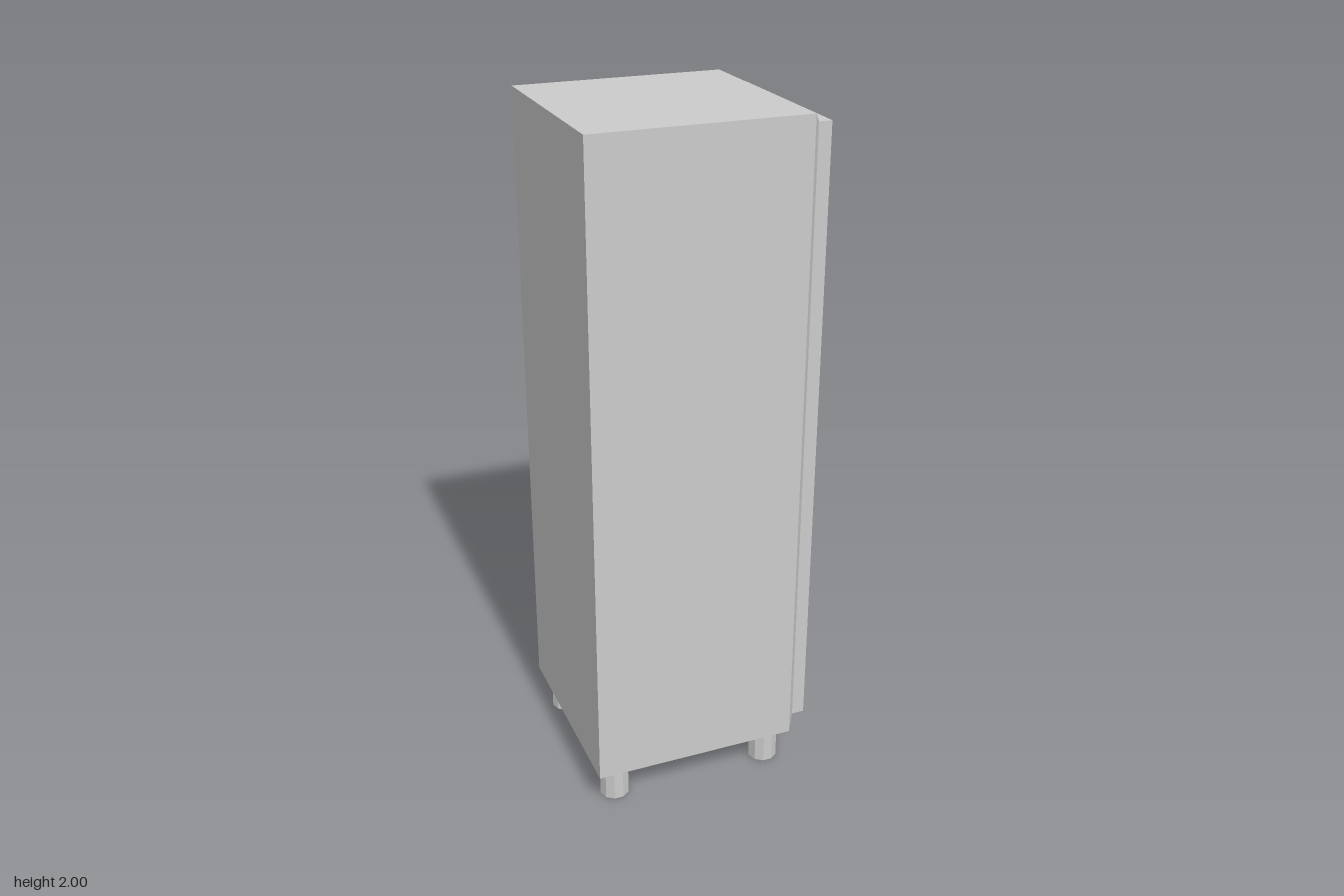
import * as THREE from 'three';

const material = new THREE.MeshStandardMaterial({ color: 0xcccccc, flatShading: true });

function add(parent, name, geometry, x = 0, y = 0, z = 0) {
  const mesh = new THREE.Mesh(geometry, material);
  mesh.name = name;
  mesh.position.set(x, y, z);
  parent.add(mesh);
  return mesh;
}

// Rectangular rings [z, x0, x1, y0, y1] joined by quads.
// Rings running back to front face outward; front to back face inward.
function loft(rings, cap) {
  const corners = rings.map(([z, x0, x1, y0, y1]) =>
    [[x0, y0, z], [x1, y0, z], [x1, y1, z], [x0, y1, z]]);
  const points = [];
  const quad = (a, b, c, d) => points.push(...a, ...b, ...c, ...a, ...c, ...d);
  for (let r = 0; r + 1 < corners.length; r++) {
    const a = corners[r], b = corners[r + 1];
    for (let i = 0; i < 4; i++) {
      const j = (i + 1) % 4;
      quad(a[i], a[j], b[j], b[i]);
    }
  }
  if (cap === 'start') quad(...[...corners[0]].reverse());
  if (cap === 'end') quad(...corners[corners.length - 1]);
  const geometry = new THREE.BufferGeometry();
  geometry.setAttribute('position', new THREE.Float32BufferAttribute(points, 3));
  geometry.computeVertexNormals();
  return geometry;
}

function rectangle(PathType, x0, x1, y0, y1) {
  return new PathType([[x0, y0], [x1, y0], [x1, y1], [x0, y1]]
    .map(([x, y]) => new THREE.Vector2(x, y)));
}

export function createModel() {
  const model = new THREE.Group();
  model.name = 'locker';

  // Built with the door facing +z, then turned so it faces +x
  const locker = new THREE.Group();
  locker.name = 'lockerBody';
  locker.rotation.y = Math.PI / 2;
  model.add(locker);

  const doorZ = 0.338;
  const doorRect = [-0.268, 0.268, 0.143, 1.97];
  const ventRect = [-0.136, 0.136, 1.535, 1.805];
  const pocketRect = [0.069, 0.245, 0.99, 1.245];

  // Cabinet with a bevelled front frame
  add(locker, 'cabinet', loft([
    [-0.34, -0.305, 0.305, 0.11, 2],
    [0.273, -0.305, 0.305, 0.11, 2],
    [0.3, ...doorRect],
  ], 'start'));

  // Door: edges and a front panel cut for the vent and the handle
  const door = new THREE.Group();
  door.name = 'door';
  locker.add(door);
  add(door, 'doorEdges', loft([[0.3, ...doorRect], [doorZ, ...doorRect]]));
  const panel = rectangle(THREE.Shape, ...doorRect);
  panel.holes.push(rectangle(THREE.Path, ...ventRect), rectangle(THREE.Path, ...pocketRect));
  add(door, 'doorPanel', new THREE.ShapeGeometry(panel), 0, 0, doorZ);

  // Vent recess with wedge slats sloping down and out
  const ventDepth = 0.05;
  add(door, 'ventRecess', loft([[doorZ, ...ventRect], [doorZ - ventDepth, ...ventRect]], 'end'));
  const wedge = new THREE.Shape();
  wedge.moveTo(0, 0);
  wedge.lineTo(ventDepth, 0);
  wedge.lineTo(ventDepth, 0.042);
  wedge.closePath();
  const slat = new THREE.ExtrudeGeometry(wedge, { depth: 0.272, bevelEnabled: false });
  for (let i = 0; i < 4; i++) {
    const mesh = add(door, 'ventSlat', slat, -0.136, 1.535 + i * 0.076, doorZ);
    mesh.rotation.y = Math.PI / 2;
  }

  // Handle pocket with an upright grip bar flush with the door
  add(door, 'handlePocket', loft([
    [doorZ, ...pocketRect],
    [doorZ - 0.065, 0.078, 0.236, 1, 1.235],
  ], 'end'));
  add(door, 'handleBar', new THREE.BoxGeometry(0.037, 0.255, 0.025), 0.1635, 1.1175, doorZ - 0.0125);

  // Four short round feet
  const foot = new THREE.CylinderGeometry(0.044, 0.044, 0.11, 10);
  for (const x of [-0.237, 0.237]) {
    for (const z of [-0.273, 0.215]) add(locker, 'foot', foot, x, 0.055, z);
  }
  return model;
}
